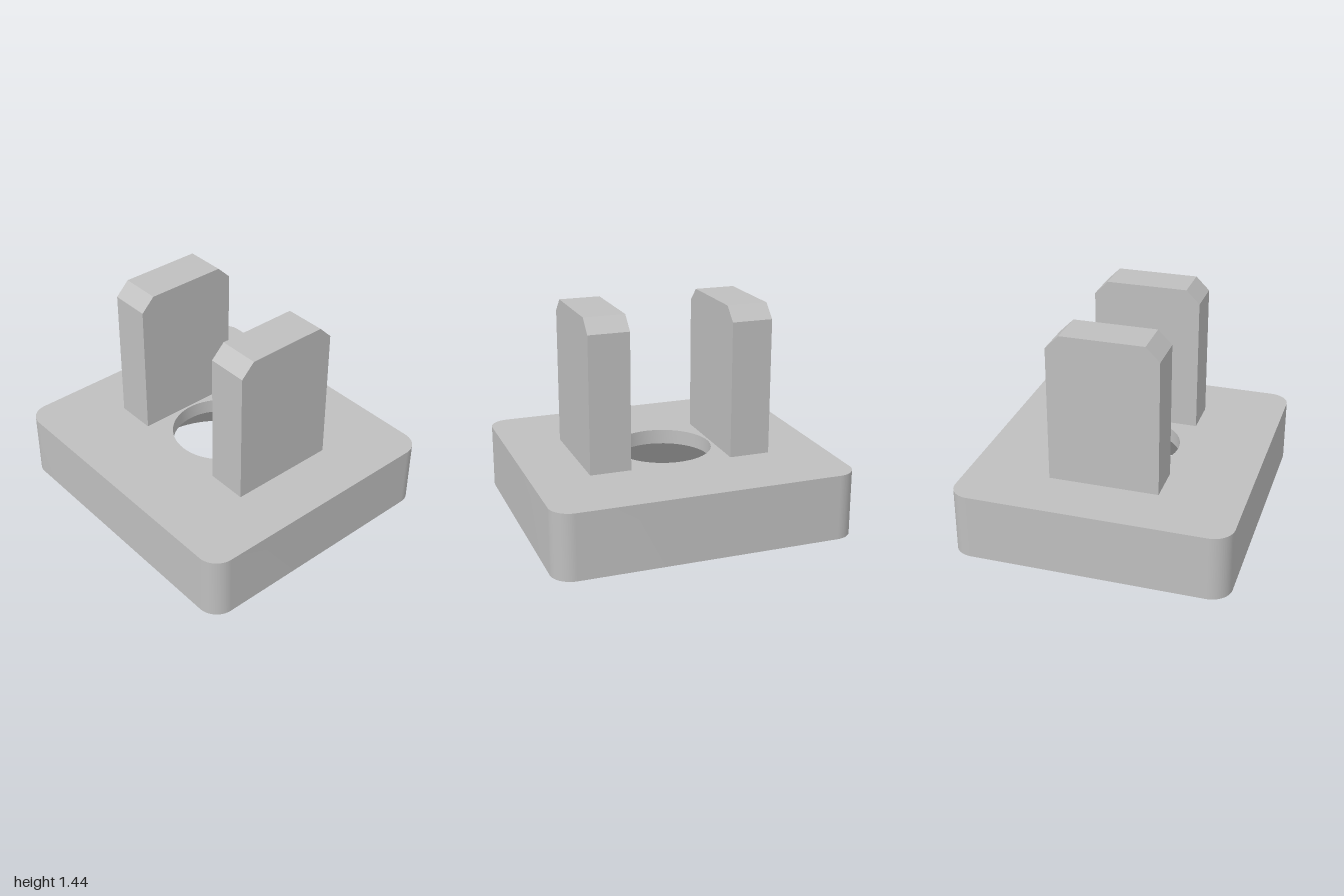
import * as THREE from 'three';
import { mergeGeometries, toCreasedNormals } from 'three/addons/utils/BufferGeometryUtils.js';

const BASE_H = 0.436, HALF_X = 1, HALF_Z = 0.909, CORNER = 0.136;
const HOLE_R = 0.328, SINK_R = 0.655, SINK_H = 0.336;
const SEGMENTS = 32;

// Rounded rectangle with a round hole
function plateShape(holeRadius) {
  const s = new THREE.Shape();
  const x = HALF_X - CORNER, y = HALF_Z - CORNER;
  s.absarc(x, y, CORNER, 0, Math.PI / 2);
  s.absarc(-x, y, CORNER, Math.PI / 2, Math.PI);
  s.absarc(-x, -y, CORNER, Math.PI, Math.PI * 1.5);
  s.absarc(x, -y, CORNER, Math.PI * 1.5, Math.PI * 2);
  s.closePath();
  const hole = new THREE.Path();
  hole.absarc(0, 0, holeRadius, 0, Math.PI * 2, true);
  s.holes.push(hole);
  return s;
}

// Plate with a straight hole that widens into a countersink below
function baseGeometry() {
  const shape = plateShape(HOLE_R);
  const solid = new THREE.ExtrudeGeometry(shape, {
    depth: BASE_H, steps: 2, bevelEnabled: false, curveSegments: SEGMENTS,
  });

  // Keep only the side walls, then flare the lower rim of the hole
  const { start, count } = solid.groups[1];
  const walls = new THREE.BufferGeometry();
  const pos = new THREE.BufferAttribute(
    solid.attributes.position.array.slice(start * 3, (start + count) * 3), 3);
  for (let i = 0; i < pos.count; i++) {
    const x = pos.getX(i), y = pos.getY(i), z = pos.getZ(i);
    if (Math.abs(z - BASE_H / 2) < 0.01) pos.setZ(i, SINK_H);
    if (z < 0.01 && Math.hypot(x, y) < HOLE_R + 0.05) {
      pos.setXY(i, x * SINK_R / HOLE_R, y * SINK_R / HOLE_R);
    }
  }
  walls.setAttribute('position', pos);
  walls.rotateX(-Math.PI / 2);

  // Top and bottom faces
  const top = new THREE.ShapeGeometry(shape, SEGMENTS)
    .rotateX(-Math.PI / 2).translate(0, BASE_H, 0).toNonIndexed();
  const bottom = new THREE.ShapeGeometry(plateShape(SINK_R), SEGMENTS)
    .rotateX(Math.PI / 2).toNonIndexed();
  for (const g of [top, bottom]) {
    g.deleteAttribute('uv');
    g.deleteAttribute('normal');
  }
  return toCreasedNormals(mergeGeometries([walls, top, bottom]), 0.5);
}

// Upright tab with chamfered top corners, centred on x
function tabGeometry() {
  const w = 0.364, top = 1.436, c = 0.091, thick = 0.273;
  const s = new THREE.Shape();
  s.moveTo(-w, BASE_H);
  s.lineTo(w, BASE_H);
  s.lineTo(w, top - c);
  s.lineTo(w - c, top);
  s.lineTo(-w + c, top);
  s.lineTo(-w, top - c);
  s.closePath();
  return new THREE.ExtrudeGeometry(s, { depth: thick, bevelEnabled: false })
    .translate(0, 0, -thick / 2).rotateY(Math.PI / 2);
}

export function createModel() {
  const model = new THREE.Group();
  model.name = 'mountingBracket';
  const grey = new THREE.MeshStandardMaterial({ color: 0xbfbfbf });
  grey.name = 'plain grey';

  const base = new THREE.Mesh(baseGeometry(), grey);
  base.name = 'countersunkBase';
  model.add(base);

  const tab = tabGeometry();
  for (const [name, side] of [['leftTab', 1], ['rightTab', -1]]) {
    const mesh = new THREE.Mesh(tab, grey);
    mesh.name = name;
    mesh.position.x = side * 0.48;
    model.add(mesh);
  }
  return model;
}
